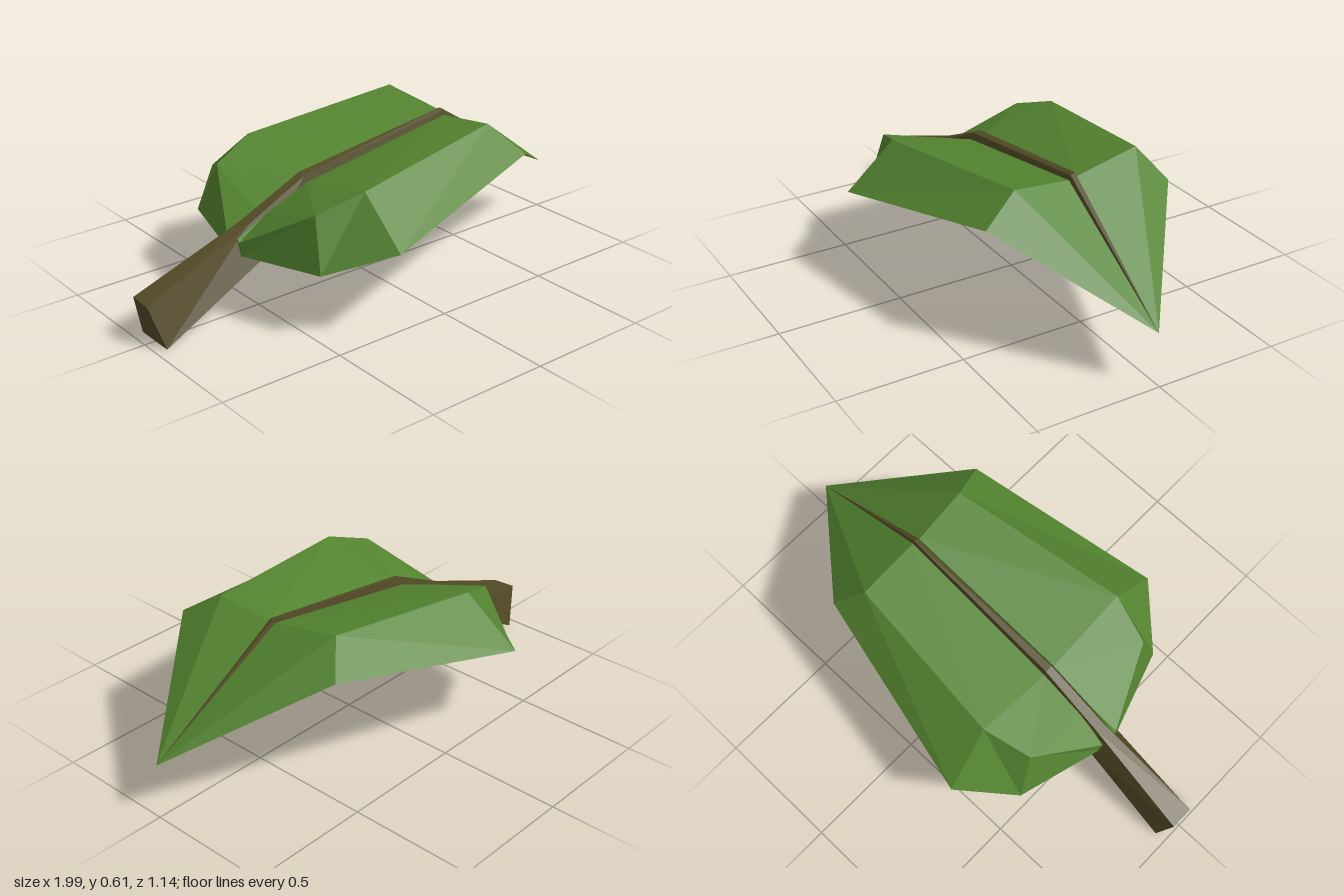
import * as THREE from 'three';

// Skin a list of 4-point rings running along x into a faceted solid, closed at its first ring.
function loft(rings, flip = false) {
  const pos = [];
  const tri = (a, b, c) => pos.push(...a, ...(flip ? c : b), ...(flip ? b : c));
  for (let i = 0; i < rings.length - 1; i++) {
    const p = rings[i], q = rings[i + 1], n = p.length;
    for (let k = 0; k < n; k++) {
      const m = (k + 1) % n;
      tri(p[k], p[m], q[k]);
      tri(p[m], q[m], q[k]);
    }
  }
  const s = rings[0];
  tri(s[0], s[2], s[1]);
  tri(s[0], s[3], s[2]);
  const geo = new THREE.BufferGeometry();
  geo.setAttribute('position', new THREE.Float32BufferAttribute(pos, 3));
  geo.computeVertexNormals(); // unshared corners give flat facets
  return geo;
}

export function createModel() {
  const leafGreen = new THREE.MeshStandardMaterial({ color: 0x548430 });
  leafGreen.name = 'leafGreen';
  const stemBrown = new THREE.MeshStandardMaterial({ color: 0x544c27 });
  stemBrown.name = 'stemBrown';

  const group = new THREE.Group();
  group.name = 'leaf';
  const add = (name, geo, mat) => {
    const mesh = new THREE.Mesh(geo, mat);
    mesh.name = name;
    group.add(mesh);
  };

  const tip = [0.99, 0.217, 0.008];
  const tipRing = [tip, tip, tip, tip];

  // Blade halves: each ring is inner top, raised crease, drooping edge, inner underside
  add('frontBlade', loft([
    [[-0.6, 0.31, 0.02], [-0.6, 0.3, 0.035], [-0.6, 0.25, 0.045], [-0.6, 0.245, 0.02]],
    [[-0.47, 0.375, 0.02], [-0.465, 0.47, 0.32], [-0.49, 0.262, 0.38], [-0.47, 0.285, 0.02]],
    [[-0.28, 0.45, 0.02], [-0.28, 0.53, 0.37], [-0.28, 0.355, 0.57], [-0.29, 0.36, 0.02]],
    [[0.42, 0.558, 0.01], [0.435, 0.585, 0.248], [0.495, 0.49, 0.4], [0.49, 0.487, 0.01]],
    tipRing,
  ]), leafGreen);
  add('backBlade', loft([
    [[-0.6, 0.31, -0.025], [-0.6, 0.3, -0.045], [-0.6, 0.25, -0.05], [-0.6, 0.245, -0.02]],
    [[-0.47, 0.375, -0.03], [-0.465, 0.47, -0.305], [-0.505, 0.262, -0.395], [-0.47, 0.285, -0.02]],
    [[-0.28, 0.45, -0.03], [-0.28, 0.535, -0.36], [-0.315, 0.345, -0.573], [-0.29, 0.36, -0.02]],
    [[0.42, 0.565, -0.022], [0.395, 0.61, -0.3], [0.49, 0.49, -0.387], [0.49, 0.487, -0.02]],
    tipRing,
  ], true), leafGreen);

  // Stem running into the midrib: each ring is top back, top front, bottom front, bottom back
  add('stemAndMidrib', loft([
    [[-1, 0.17, -0.06], [-1, 0.17, -0.03], [-0.955, 0, 0.08], [-0.955, 0, -0.088]].map(
      (p, i) => (i === 1 ? [-1, 0.165, 0.035] : p)),
    [[-0.55, 0.352, -0.03], [-0.55, 0.345, 0.012], [-0.54, 0.215, 0.07], [-0.54, 0.215, -0.07]],
    [[-0.28, 0.48, -0.025], [-0.28, 0.475, 0.008], [-0.31, 0.32, 0.05], [-0.31, 0.32, -0.055]],
    [[0.42, 0.583, -0.016], [0.42, 0.575, 0.002], [0.49, 0.46, 0.025], [0.49, 0.46, -0.03]],
    tipRing,
  ]), stemBrown);

  return group;
}
